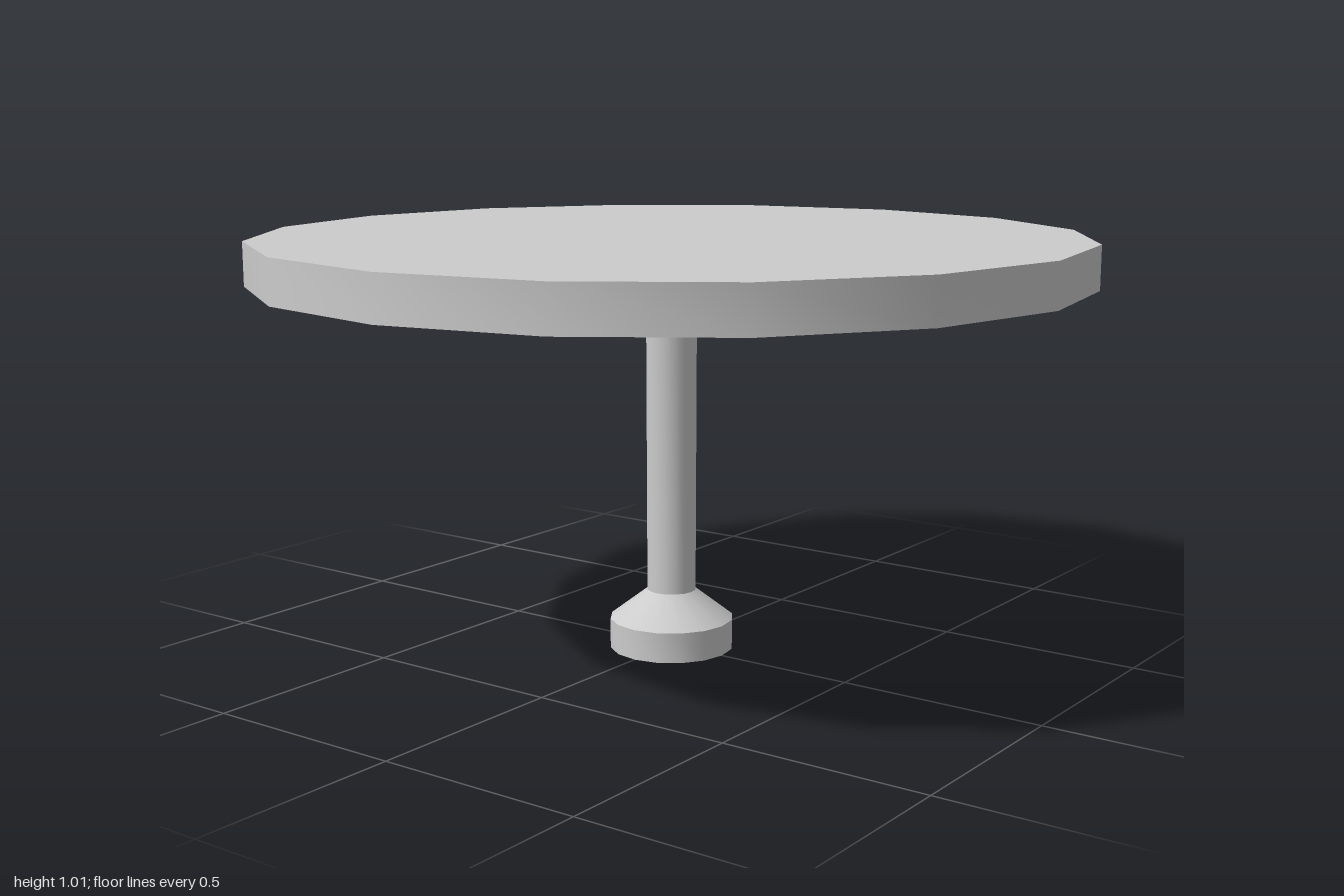
import * as THREE from 'three';
import { toCreasedNormals } from 'three/addons/utils/BufferGeometryUtils.js';

const SIDES = 16;
// The parts are thin hollow shells, so both faces show
const material = new THREE.MeshStandardMaterial({ color: 0xcccccc, side: THREE.DoubleSide });

// Turned shell from [radius, height] points, listed from the underside upwards
function turned(name, profile) {
  const points = profile.map(([r, y]) => new THREE.Vector2(r, y));
  const geometry = toCreasedNormals(new THREE.LatheGeometry(points, SIDES), Math.PI / 6);
  const mesh = new THREE.Mesh(geometry, material);
  mesh.name = name;
  return mesh;
}

export function createModel() {
  const table = new THREE.Group();
  table.name = 'pedestalTable';

  // Hollow round top: inward lip below, outer wall, flat surface
  table.add(turned('tableTop', [[0.9, 0.909], [1, 0.909], [1, 1.014], [0, 1.014]]));

  // Round column ending inside the hollow top
  table.add(turned('column', [[0.06, 0.145], [0.062, 0.95]]));

  // Hollow foot: open ring below, short wall, sloped shoulder
  table.add(turned('foot', [[0.06, 0], [0.152, 0], [0.152, 0.074], [0.06, 0.145]]));

  return table;
}
